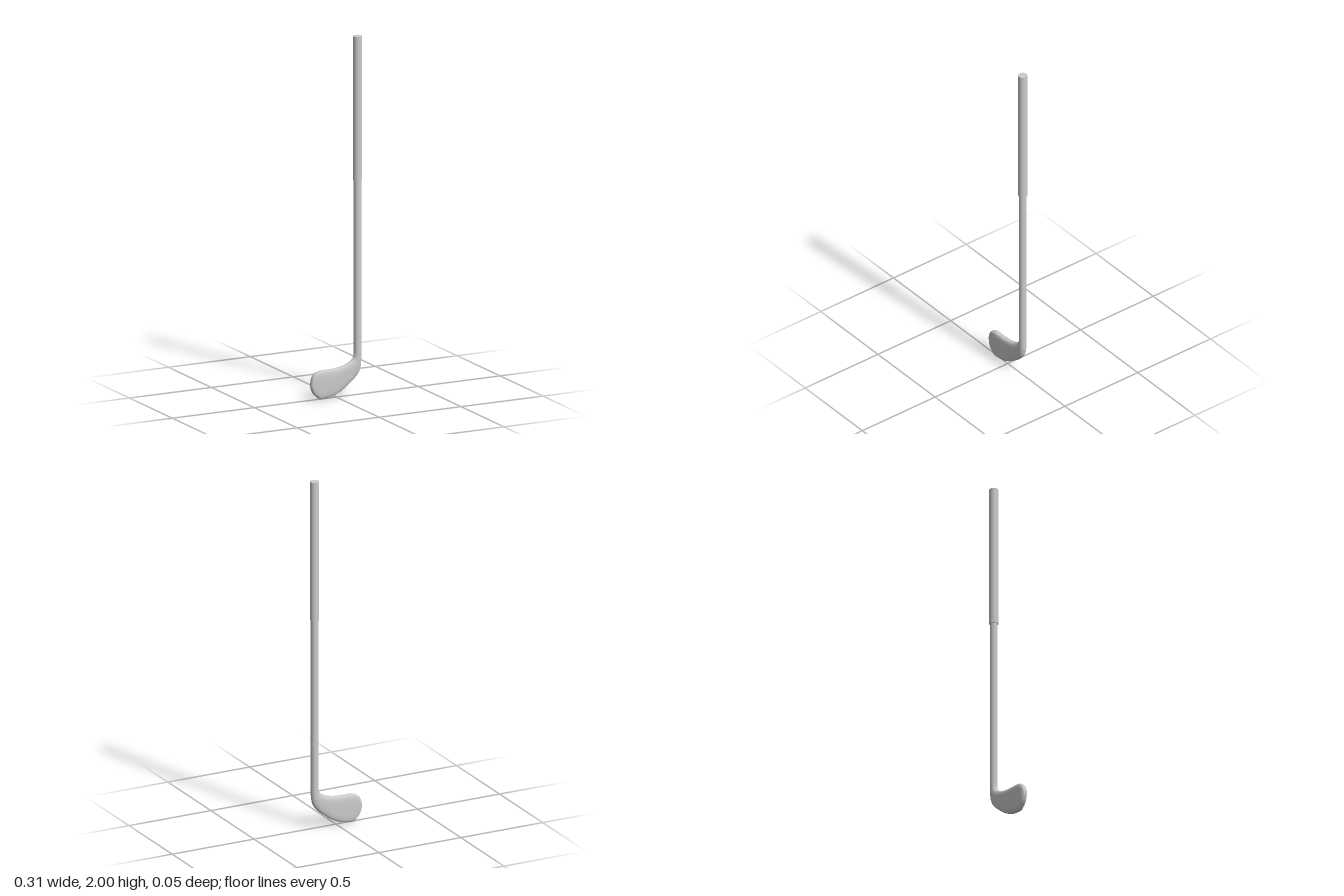
import * as THREE from 'three';

const material = new THREE.MeshStandardMaterial({ color: 0xcccccc, side: THREE.DoubleSide });
const SHAFT_X = 0.13;

// Head sections from neck to toe: inner x, y, outer x, y, half depth, squareness
const SECTIONS = [
  [0.109, 0.26, 0.151, 0.26, 0.021, 2],
  [0.108, 0.225, 0.151, 0.2, 0.021, 2],
  [0.102, 0.206, 0.148, 0.165, 0.021, 2.1],
  [0.09, 0.194, 0.137, 0.13, 0.021, 2.4],
  [0.065, 0.18, 0.112, 0.098, 0.0205, 2.8],
  [0.03, 0.168, 0.07, 0.064, 0.02, 3.3],
  [-0.02, 0.161, 0.01, 0.025, 0.02, 3.8],
  [-0.06, 0.16, -0.045, 0.006, 0.02, 4],
  [-0.1, 0.159, -0.09, 0.001, 0.0198, 4],
  [-0.13, 0.148, -0.122, 0.018, 0.0185, 3.8],
  [-0.147, 0.128, -0.143, 0.04, 0.0155, 3.2],
  [-0.156, 0.1, -0.155, 0.068, 0.009, 2.4],
];

// Smooth curve through three columns of the section table
function column(a, b, c) {
  return new THREE.CatmullRomCurve3(
    SECTIONS.map((s) => new THREE.Vector3(s[a], s[b], s[c])), false, 'centripetal');
}

// Loft of rounded sections that turns from a round neck into a flat blade
function headGeometry() {
  const rings = 66, sides = 40;
  const innerCurve = column(0, 1, 4), outerCurve = column(2, 3, 5);
  const positions = [], indices = [];
  const power = (v, n) => Math.sign(v) * Math.pow(Math.abs(v), 2 / n);
  for (let i = 0; i <= rings; i++) {
    const inner = innerCurve.getPoint(i / rings), outer = outerCurve.getPoint(i / rings);
    for (let j = 0; j < sides; j++) {
      const angle = (j / sides) * Math.PI * 2;
      const u = power(Math.cos(angle), outer.z), w = power(Math.sin(angle), outer.z);
      positions.push(
        (inner.x + outer.x) / 2 + u * (outer.x - inner.x) / 2,
        (inner.y + outer.y) / 2 + u * (outer.y - inner.y) / 2,
        w * inner.z);
      if (i === rings) continue;
      const a = i * sides + j, b = i * sides + (j + 1) % sides;
      indices.push(a, b, a + sides, b, b + sides, a + sides);
    }
  }
  // Rounded toe tip
  const tip = positions.length / 3, last = rings * sides;
  positions.push(-0.158, 0.084, 0);
  for (let j = 0; j < sides; j++) indices.push(last + j, last + (j + 1) % sides, tip);
  const geometry = new THREE.BufferGeometry();
  geometry.setAttribute('position', new THREE.Float32BufferAttribute(positions, 3));
  geometry.setIndex(indices);
  geometry.computeVertexNormals();
  return geometry;
}

// Upright rod between two heights
function rod(name, radius, bottom, top) {
  const mesh = new THREE.Mesh(new THREE.CylinderGeometry(radius, radius, top - bottom, 40), material);
  mesh.position.set(SHAFT_X, (bottom + top) / 2, 0);
  mesh.name = name;
  return mesh;
}

export function createModel() {
  const group = new THREE.Group();
  group.name = 'golfClub';
  const head = new THREE.Mesh(headGeometry(), material);
  head.name = 'head';
  group.add(head, rod('shaft', 0.021, 0.26, 1.21), rod('grip', 0.025, 1.2, 2));
  return group;
}
